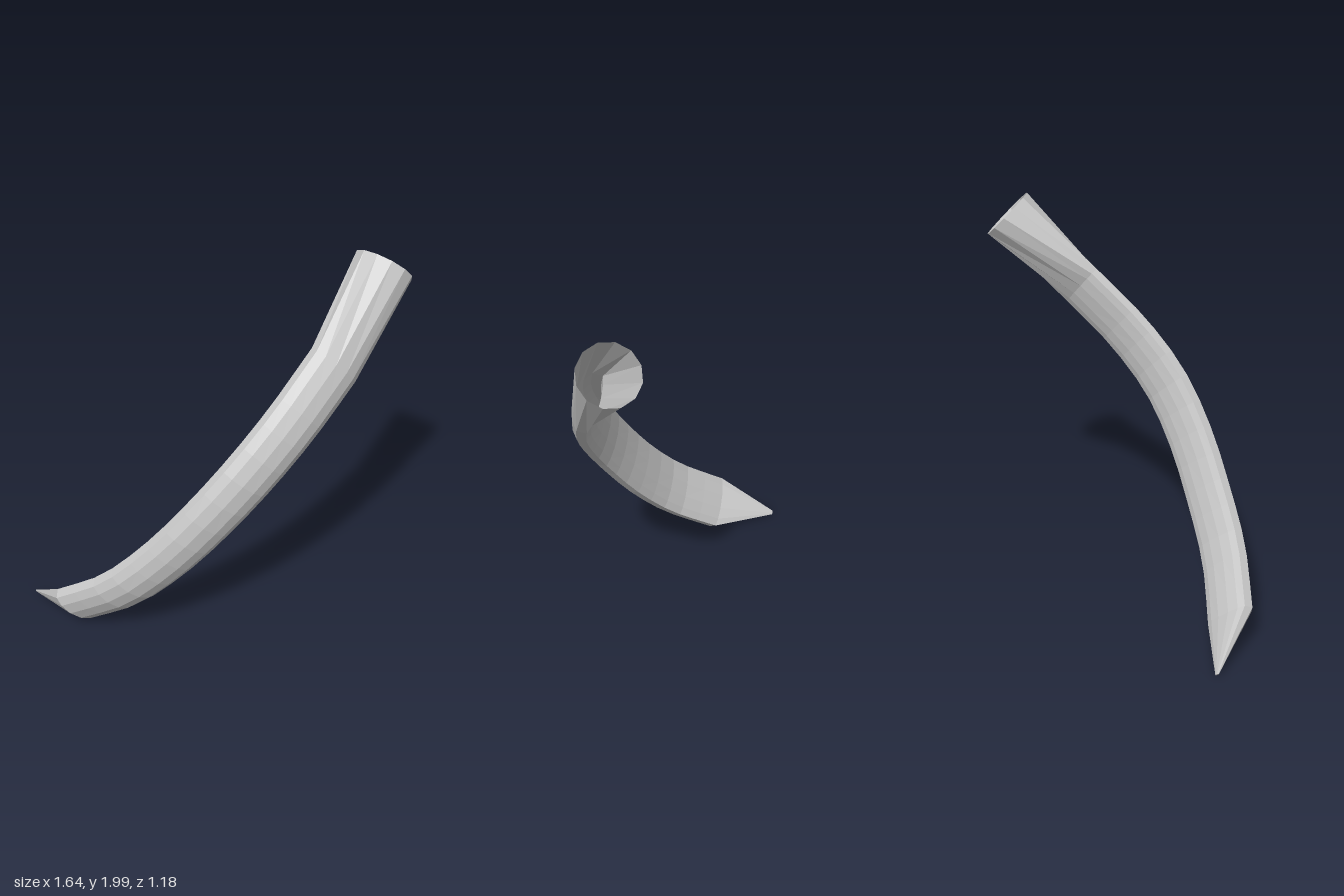
import * as THREE from 'three';

const V = (x, y, z) => new THREE.Vector3(x, y, z);
const SIDES = 12, STEPS = 14, R = 0.15;

// Round socket mouth: points as (across, outward)
const roundProfile = Array.from({ length: SIDES }, (_, i) => {
  const a = THREE.MathUtils.degToRad(-5 + i * 30);
  return [R * Math.cos(a), R * Math.sin(a)];
});

// Blade section: narrow flat edges, rounded front, nearly flat back
const bladeProfile = [
  [0.14, -0.025], [0.14, 0.025], [0.1, 0.055], [0.037, 0.075], [-0.037, 0.075], [-0.1, 0.055],
  [-0.14, 0.025], [-0.14, -0.025], [-0.1, -0.037], [-0.037, -0.045], [0.037, -0.045], [0.1, -0.037],
];

// Places a profile at a centre, square to the tangent and aligned with a hint
function section(profile, center, tangent, hint, scale = 1) {
  const across = hint.clone().addScaledVector(tangent, -hint.dot(tangent)).normalize();
  const outward = tangent.clone().cross(across);
  return profile.map(([u, v]) => center.clone()
    .addScaledVector(across, u * scale).addScaledVector(outward, v * scale));
}

// Skins a row of closed sections, optionally capping the last one
function loft(rings, cap) {
  const pos = [], index = [];
  rings.forEach(r => r.forEach(p => pos.push(p.x, p.y, p.z)));
  for (let i = 0; i < rings.length - 1; i++) {
    for (let j = 0; j < SIDES; j++) {
      const a = i * SIDES + j, b = i * SIDES + (j + 1) % SIDES;
      index.push(a, b, a + SIDES, b, b + SIDES, a + SIDES);
    }
  }
  if (cap) {
    const s = (rings.length - 1) * SIDES;
    for (let j = 1; j < SIDES - 1; j++) index.push(s, s + j, s + j + 1);
  }
  const g = new THREE.BufferGeometry();
  g.setAttribute('position', new THREE.Float32BufferAttribute(pos, 3));
  g.setIndex(index);
  g.computeVertexNormals();
  return g;
}

export function createModel() {
  const group = new THREE.Group();
  group.name = 'curvedBlade';
  const material = new THREE.MeshStandardMaterial({
    color: 0xcccccc, flatShading: true, side: THREE.DoubleSide,
  });
  const add = (name, rings, cap) => {
    const mesh = new THREE.Mesh(loft(rings, cap), material);
    mesh.name = name;
    group.add(mesh);
  };

  // Sweeping blade, from the socket down to the nose
  const path = new THREE.CatmullRomCurve3([
    V(0.33, 1.52, 0.5), V(0.07, 1.29, 0.49), V(-0.15, 1.06, 0.435),
    V(-0.32, 0.82, 0.33), V(-0.46, 0.58, 0.19), V(-0.6, 0.34, 0),
    V(-0.705, 0.14, -0.255),
  ]);
  const startAcross = V(0.665, -0.665, 0.34), endAcross = V(0.7, -0.68, 0.21);
  const blade = Array.from({ length: STEPS + 1 }, (_, i) => {
    const t = i / STEPS;
    return section(bladeProfile, path.getPointAt(t), path.getTangentAt(t),
      startAcross.clone().lerp(endAcross, t));
  });
  add('blade', blade);

  // Open socket, changing from a round mouth to the blade section
  const mouthCenter = V(0.712, 1.893, 0.432);
  const socketAxis = path.getPointAt(0).sub(mouthCenter).normalize();
  add('socket', [section(roundProfile, mouthCenter, socketAxis, startAcross), blade[0]]);

  // Nose tapering to a blunt point
  const tip = section(bladeProfile, V(-0.73, 0.015, -0.592), path.getTangentAt(1), endAcross, 0.08);
  add('nose', [blade[STEPS], tip], true);

  return group;
}
